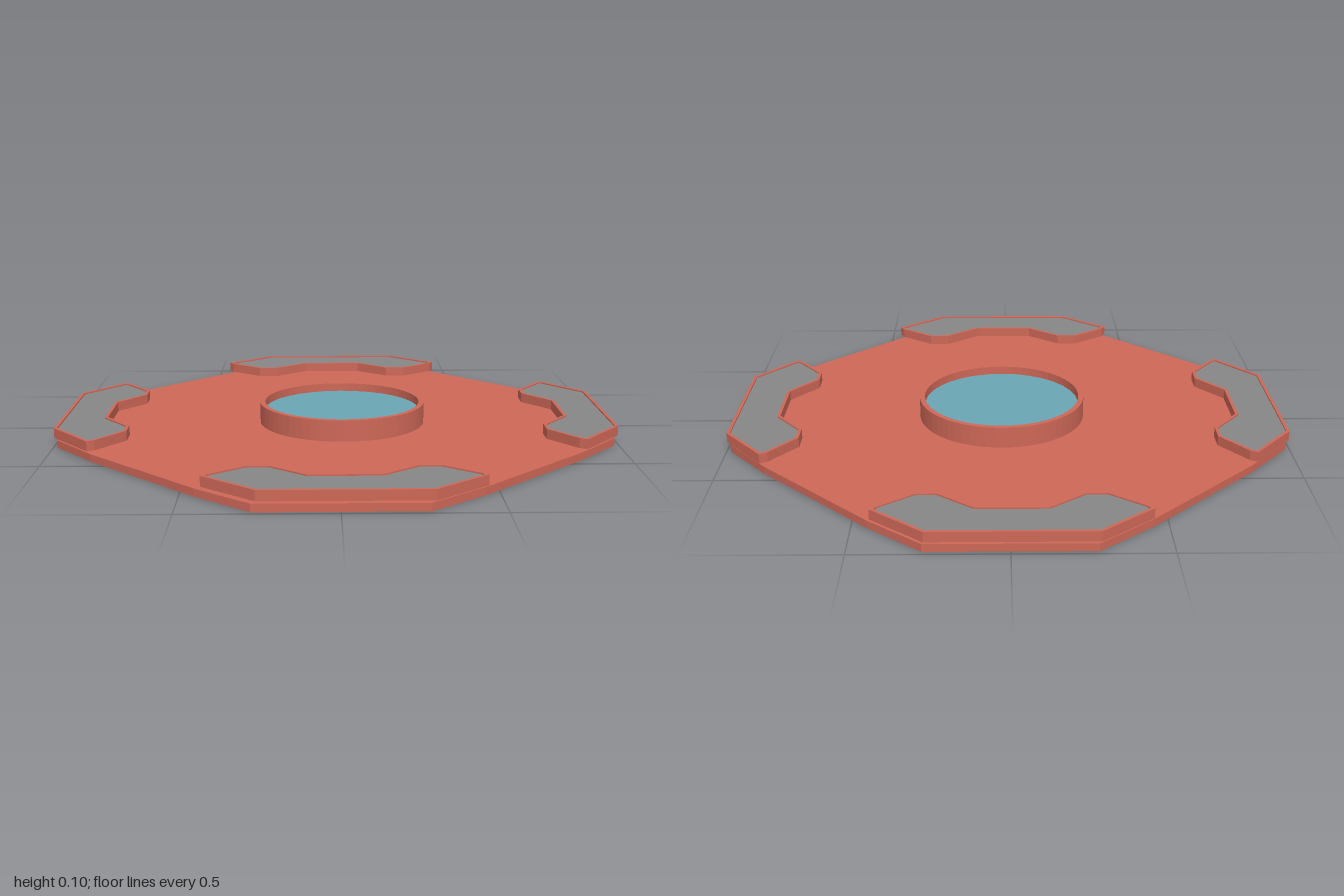
import * as THREE from 'three';

const red = new THREE.MeshStandardMaterial({ color: 0xcd6757, side: THREE.DoubleSide });
const grey = new THREE.MeshStandardMaterial({ color: 0x878787, side: THREE.DoubleSide });
const blue = new THREE.MeshStandardMaterial({ color: 0x6ba5b3, side: THREE.DoubleSide });

const toVectors = (points) => points.map(([x, y]) => new THREE.Vector2(x, y));

// Closed outline from its right half, listed from the outer edge inwards
function mirrored(half) {
  return toVectors([...half, ...half.map(([x, y]) => [-x, y]).reverse()]);
}

// Move every edge of a clockwise outline inwards by d, mitring the corners
function inset(points, d) {
  const n = points.length;
  return points.map((p, i) => {
    const a = p.clone().sub(points[(i + n - 1) % n]).normalize();
    const b = points[(i + 1) % n].clone().sub(p).normalize();
    const na = new THREE.Vector2(a.y, -a.x);
    const nb = new THREE.Vector2(b.y, -b.x);
    const miter = na.clone().add(nb);
    return p.clone().addScaledVector(miter, d / (1 + na.dot(nb)));
  });
}

// Lay a flat outline on the ground plane and extrude it upwards
function slab(shape, bottom, top) {
  const geometry = new THREE.ExtrudeGeometry(shape, { depth: top - bottom, bevelEnabled: false });
  return geometry.rotateX(-Math.PI / 2).translate(0, bottom, 0);
}

function add(parent, name, geometry, material) {
  const mesh = new THREE.Mesh(geometry, material);
  mesh.name = name;
  parent.add(mesh);
  return mesh;
}

export function createModel() {
  const model = new THREE.Group();
  model.name = 'landingPad';

  // Base plate: an octagon with slightly bulging diagonals
  const outline = [];
  for (let i = 0; i < 4; i++) {
    for (const [x, y] of [[-0.27, 0.985], [0.27, 0.985], [0.45, 0.835], [0.835, 0.45]]) {
      outline.push(new THREE.Vector2(x, y).rotateAround(new THREE.Vector2(), -i * Math.PI / 2));
    }
  }
  add(model, 'basePlate', slab(new THREE.Shape(outline), 0, 0.027), red);

  // Four edge blocks: raised red rim around a grey pad
  const blockOutline = mirrored([
    [0.27, 0.99], [0.445, 0.845], [0.43, 0.82], [0.31, 0.73], [0.235, 0.73], [0.115, 0.825],
  ]);
  const padOutline = inset(blockOutline, 0.011);
  const rimShape = new THREE.Shape(blockOutline);
  rimShape.holes.push(new THREE.Path(padOutline));
  const rimGeometry = slab(rimShape, 0.036, 0.071);
  const padGeometry = new THREE.ShapeGeometry(new THREE.Shape(padOutline))
    .rotateX(-Math.PI / 2).translate(0, 0.066, 0);

  ['back', 'left', 'front', 'right'].forEach((side, i) => {
    const block = new THREE.Group();
    block.name = side + 'Block';
    add(block, 'blockRim', rimGeometry, red);
    add(block, 'blockPad', padGeometry, grey);
    block.rotation.y = -i * Math.PI / 2;
    if (side === 'back') block.position.x = -0.005;
    if (side === 'front') block.position.x = 0.014;
    if (side === 'left' || side === 'right') block.position.x = side === 'left' ? 0.005 : -0.005;
    model.add(block);
  });

  // Round basin with a thin wall and a sunken blue disc
  const basin = new THREE.Group();
  basin.name = 'basin';
  basin.position.x = 0.023;
  const wallShape = new THREE.Shape().absarc(0, 0, 0.304, 0, Math.PI * 2);
  wallShape.holes.push(new THREE.Path().absarc(0, 0, 0.285, 0, Math.PI * 2, true));
  const wall = new THREE.ExtrudeGeometry(wallShape, { depth: 0.076, bevelEnabled: false, curveSegments: 32 });
  add(basin, 'basinWall', wall.rotateX(-Math.PI / 2).translate(0, 0.027, 0), red);
  const disc = new THREE.CircleGeometry(0.285, 32);
  add(basin, 'basinDisc', disc.rotateX(-Math.PI / 2).translate(0, 0.073, 0), blue);
  model.add(basin);

  return model;
}
